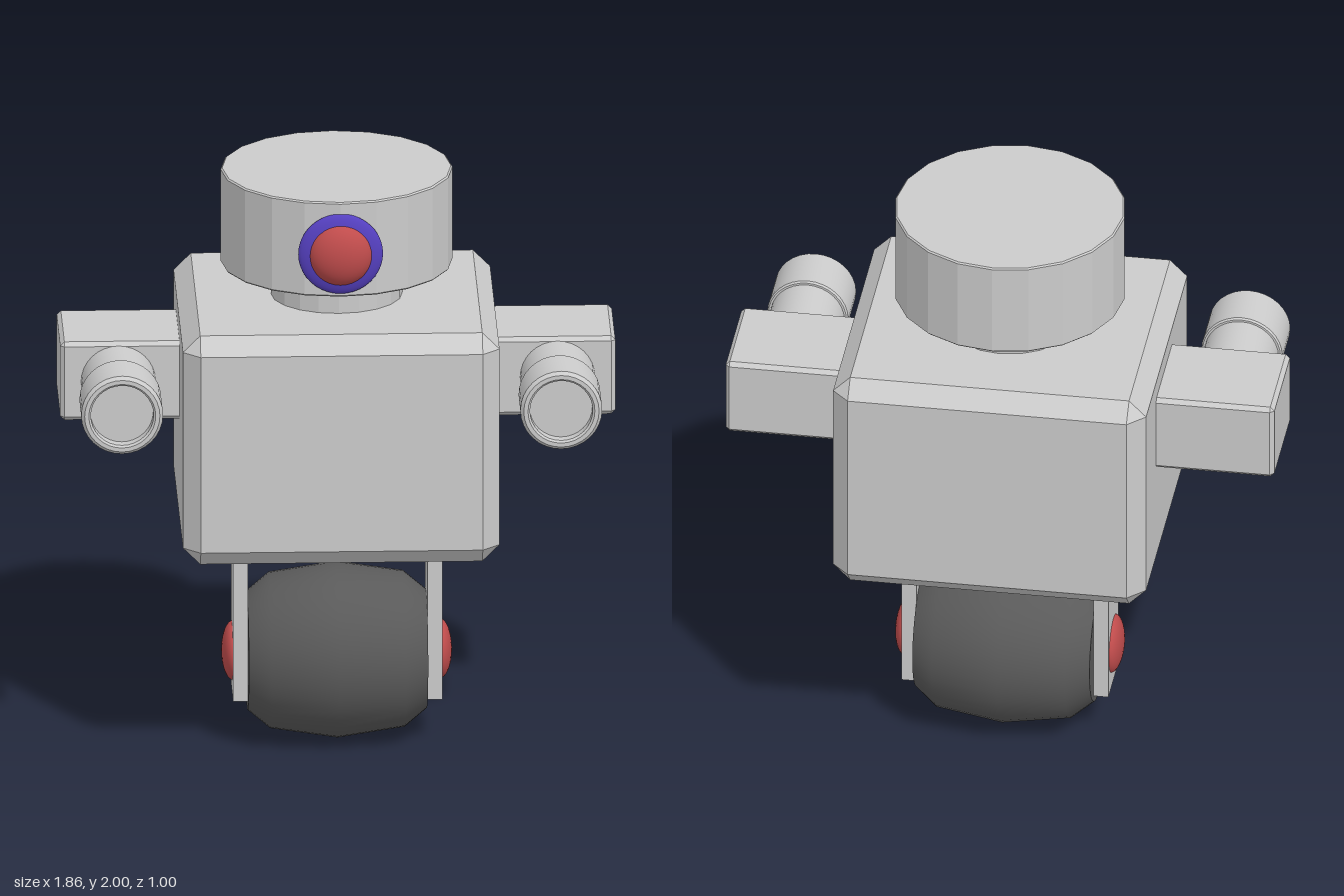
import * as THREE from 'three';
import { ConvexGeometry } from 'three/addons/geometries/ConvexGeometry.js';
import { toCreasedNormals } from 'three/addons/utils/BufferGeometryUtils.js';

const mat = (color) => new THREE.MeshStandardMaterial({ color });
const grey = mat(0xcccccc);
const red = mat(0xc04c4c);
const blue = mat(0x5540c0);
const rubber = mat(0x5a5a5a);

function add(parent, name, geometry, material, x = 0, y = 0, z = 0) {
  const mesh = new THREE.Mesh(geometry, material);
  mesh.name = name;
  mesh.position.set(x, y, z);
  parent.add(mesh);
  return mesh;
}

// Box with flat chamfers on every edge
function chamferBox(w, h, d, c) {
  const points = [];
  for (const sx of [-1, 1]) for (const sy of [-1, 1]) for (const sz of [-1, 1]) {
    const x = w / 2, y = h / 2, z = d / 2;
    points.push(
      new THREE.Vector3(sx * x, sy * (y - c), sz * (z - c)),
      new THREE.Vector3(sx * (x - c), sy * y, sz * (z - c)),
      new THREE.Vector3(sx * (x - c), sy * (y - c), sz * z));
  }
  return new ConvexGeometry(points);
}

// Turned solid from [radius, height] pairs, listed bottom to top
function turned(profile, sides, crease) {
  const points = profile.map(([r, y]) => new THREE.Vector2(r, y));
  return toCreasedNormals(new THREE.LatheGeometry(points, sides), crease);
}

// Flattened sphere used for the eye and the axle caps
const lens = (rx, ry, rz) => new THREE.SphereGeometry(1, 32, 20).scale(rx, ry, rz);

export function createModel() {
  const model = new THREE.Group();
  model.name = 'oneWheeledRobot';

  // Torso, neck and head
  add(model, 'torso', chamferBox(1.06, 0.805, 1, 0.058), grey, 0, 1.1525, 0);
  add(model, 'neck', turned([[0, 1.54], [0.22, 1.54], [0.22, 1.69], [0, 1.69]], 20, 0.2), grey);
  add(model, 'head', turned([
    [0, 1.668], [0.383, 1.668], [0.388, 1.673], [0.388, 1.995], [0.383, 2], [0, 2],
  ], 20, 0.2), grey);

  // Single eye
  add(model, 'eyeRing', lens(0.142, 0.14, 0.034), blue, 0, 1.82, 0.385);
  add(model, 'eyeLens', lens(0.108, 0.108, 0.065), red, 0, 1.82, 0.39);

  // Arms with hollow barrels, and the wheel fork
  for (const side of [1, -1]) {
    const prefix = side > 0 ? 'left' : 'right';

    const arm = new THREE.Group();
    arm.name = prefix + 'Arm';
    model.add(arm);
    add(arm, 'armBlock', chamferBox(0.43, 0.275, 0.36, 0.014), grey, side * 0.714, 1.294, -0.05);
    const barrel = turned([
      [0, 0.1], [0.125, 0.1], [0.125, 0.31], [0.132, 0.31], [0.137, 0.317],
      [0.137, 0.487], [0.126, 0.5], [0.112, 0.5], [0.105, 0.493], [0.105, 0.455], [0, 0.455],
    ], 32, 0.5);
    add(arm, 'barrel', barrel.rotateX(Math.PI / 2), grey, side * 0.735, 1.294, 0);

    const fork = new THREE.Group();
    fork.name = prefix + 'Fork';
    model.add(fork);
    add(fork, 'forkBlade', new THREE.BoxGeometry(0.05, 0.62, 0.22), grey, side * 0.325, 0.465, 0);
    add(fork, 'axleCap', lens(0.04, 0.1, 0.1), red, side * 0.346, 0.3, 0);
  }

  // Barrel-shaped wheel
  const wheel = turned([
    [0, -0.3], [0.2, -0.3], [0.262, -0.225], [0.296, 0], [0.262, 0.225], [0.2, 0.3], [0, 0.3],
  ], 40, 0.75);
  add(model, 'wheel', wheel.rotateZ(Math.PI / 2), rubber, 0, 0.3, 0);

  return model;
}
